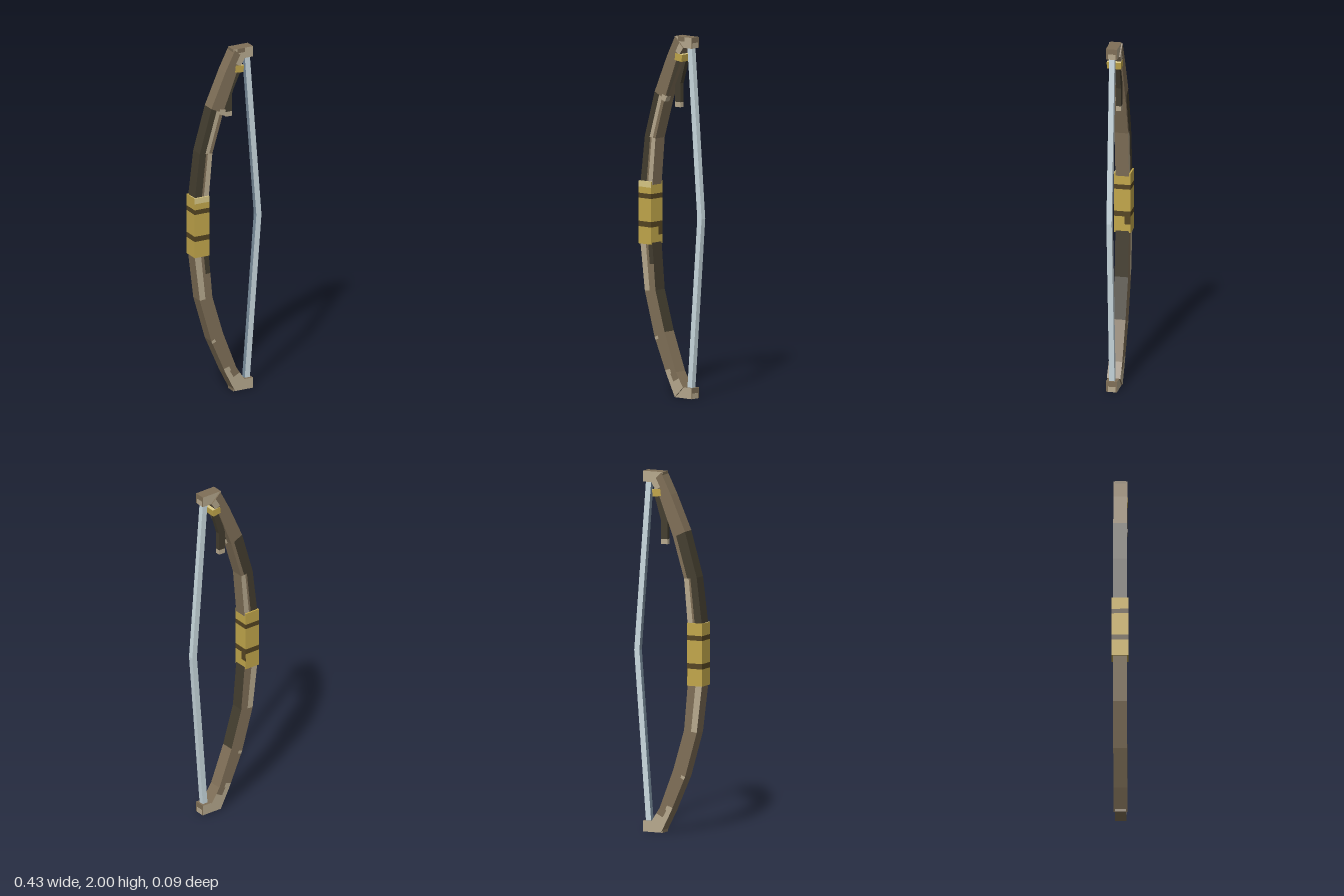
import * as THREE from 'three';

const paint = (name, color) => {
  const m = new THREE.MeshStandardMaterial({ color });
  m.name = name;
  return m;
};

export function createModel() {
  const wood = paint('wood', 0x7f6f57);
  const dark = paint('darkWood', 0x433d2f);
  const light = paint('lightWood', 0xb7a98e);
  const gold = paint('gold', 0xc2a74b);
  const paleGold = paint('paleGold', 0xdac987);
  const stripe = paint('stripe', 0x554522);
  const cord = paint('cord', 0xcadae0);
  const cordShade = paint('darkCord', 0x7d90a0);

  const bow = new THREE.Group();
  bow.name = 'bow';

  const group = (name) => {
    const g = new THREE.Group();
    g.name = name;
    bow.add(g);
    return g;
  };
  const add = (name, geometry, material, parent) => {
    const mesh = new THREE.Mesh(geometry, material);
    mesh.name = name;
    parent.add(mesh);
    return mesh;
  };
  const box = (name, x0, x1, y0, y1, z0, z1, material, parent) => {
    const mesh = add(name, new THREE.BoxGeometry(x1 - x0, y1 - y0, z1 - z0), material, parent);
    mesh.position.set((x0 + x1) / 2, (y0 + y1) / 2, (z0 + z1) / 2);
    return mesh;
  };
  // Flat outline given thickness in z, with separate face and edge colours
  const slab = (name, points, z0, z1, face, edge, parent) => {
    const shape = new THREE.Shape(points.map(([x, y]) => new THREE.Vector2(x, y)));
    const g = new THREE.ExtrudeGeometry(shape, { depth: z1 - z0, bevelEnabled: false });
    g.translate(0, 0, z0);
    return add(name, g, [face, edge], parent);
  };

  // Limb outline above the middle: outer and inner edge at each joint
  const joints = [
    [[-0.213, 0.16], [-0.125, 0.16]],
    [[-0.18, 0.43], [-0.102, 0.42]],
    [[-0.108, 0.68], [-0.035, 0.645]],
    [[-0.02, 0.88], [0.048, 0.86]],
    [[0.04, 0.998], [0.1, 0.94]],
  ];
  const mix = (p, q, t) => [p[0] + (q[0] - p[0]) * t, p[1] + (q[1] - p[1]) * t];

  // Strips: segment, start and end along it, start and end across it, front, edge, back
  const upper = [
    [0, 0, 1, 0, 0.5, dark, dark],
    [0, 0, 1, 0.5, 0.64, wood, wood],
    [0, 0, 1, 0.64, 1, light, wood],
    [1, 0, 1, 0, 0.45, dark, dark],
    [1, 0, 1, 0.45, 0.75, light, wood, dark],
    [1, 0, 1, 0.75, 1, wood, wood],
    [2, 0, 1, 0, 1, wood, wood],
    [3, 0, 0.5, 0, 1, wood, wood],
    [3, 0.5, 1, 0, 0.55, wood, wood],
    [3, 0.5, 1, 0.55, 1, light, wood],
  ];
  const lower = [
    [0, 0, 1, 0, 0.45, light, wood],
    [0, 0, 1, 0.45, 0.65, wood, wood],
    [0, 0, 0.45, 0.65, 1, dark, dark, wood],
    [0, 0.45, 1, 0.65, 1, wood, dark],
    [1, 0, 1, 0, 0.6, wood, wood],
    [1, 0, 1, 0.6, 1, wood, dark],
    [2, 0, 0.08, 0, 0.3, light, wood],
    [2, 0, 0.08, 0.3, 1, wood, wood],
    [2, 0.08, 0.88, 0, 1, wood, wood],
    [2, 0.88, 1, 0, 0.5, light, wood],
    [2, 0.88, 1, 0.5, 1, wood, wood],
    [3, 0, 0.4, 0, 0.4, light, wood],
    [3, 0, 0.4, 0.4, 1, wood, wood],
    [3, 0.4, 1, 0, 1, light, wood],
  ];
  for (const [name, strips, s] of [['upperLimb', upper, 1], ['lowerLimb', lower, -1]]) {
    const limb = group(name);
    for (const [i, t0, t1, a, b, front, edge, back = front] of strips) {
      const at = (t, w) => {
        const [x, y] = mix(mix(joints[i][0], joints[i + 1][0], t), mix(joints[i][1], joints[i + 1][1], t), w);
        return [x, 1 + s * y];
      };
      const outline = [at(t0, a), at(t0, b), at(t1, b), at(t1, a)];
      slab('limbFront', outline, 0, 0.038, front, edge, limb);
      slab('limbBack', outline, -0.038, 0, back, edge, limb);
    }
    // Nock block that holds the string
    const y = [1 + s * 0.94, 1 + s].sort((p, q) => p - q);
    box('limbTip', 0.033, 0.156, y[0], y[1], -0.031, 0.031, [wood, wood, wood, wood, light, light], limb);
    // Worn patch on the end of the block
    box('tipPatch', 0.155, 0.157, y[0], y[0] + 0.03, -0.024, 0.02, light, limb);
  }
  box('tipStain', 0.06, 0.105, 1.975, 2, 0.03, 0.032, wood, bow);

  // Wrapped grip, stacked in bands
  const grip = group('grip');
  const bands = [
    [0.83, 0.925, gold], [0.925, 0.955, stripe], [0.955, 1.083, gold],
    [1.083, 1.11, stripe], [1.11, 1.145, gold],
  ];
  for (const [y0, y1, m] of bands) box('gripBand', -0.217, -0.126, y0, y1, -0.047, 0.047, m, grip);
  box('gripTopFront', -0.217, -0.126, 1.145, 1.178, 0, 0.047, [gold, gold, paleGold, gold, paleGold, gold], grip);
  box('gripTopBack', -0.217, -0.126, 1.145, 1.178, -0.047, 0, gold, grip);
  box('gripStripePatch', -0.127, -0.125, 0.88, 0.925, -0.047, -0.012, stripe, grip);

  // Bowstring, drawn to a shallow point, shaded on the side facing the limb
  const path = [[0.128, 0.05], [0.201, 1], [0.128, 1.95]];
  const w = 0.016;
  const band = (x0, x1) => [
    ...path.map(([x, y]) => [x + x1, y]),
    ...path.map(([x, y]) => [x + x0, y]).reverse(),
  ];
  slab('string', band(-w + 0.001, w), -0.015, 0.015, cord, cord, bow);
  slab('stringInside', band(-w, -w + 0.001), -0.015, 0.015, cord, cordShade, bow);

  // Two straps hanging from a gold clasp, each with a pale end
  const straps = group('straps');
  const clasp = box('strapClasp', 0.042, 0.093, 1.865, 1.905, -0.0395, 0.0395,
    [gold, gold, paleGold, gold, gold, gold], straps);
  clasp.rotation.z = -0.12;
  slab('backStrapUpper', [[0.004, 1.735], [0.045, 1.735], [0.085, 1.87], [0.042, 1.87]], -0.03, -0.003, dark, dark, straps);
  box('backStrapLower', 0.005, 0.044, 1.63, 1.735, -0.03, -0.003, dark, straps);
  box('backStrapEnd', 0.005, 0.044, 1.602, 1.63, -0.03, -0.003, light, straps);
  slab('frontStrap', [[-0.052, 1.67], [-0.018, 1.66], [0.08, 1.87], [0.042, 1.87]], 0.003, 0.03, dark, wood, straps);
  slab('frontStrapEnd', [[-0.064, 1.643], [-0.031, 1.63], [-0.018, 1.66], [-0.052, 1.67]], 0.003, 0.039, light, light, straps);

  return bow;
}
